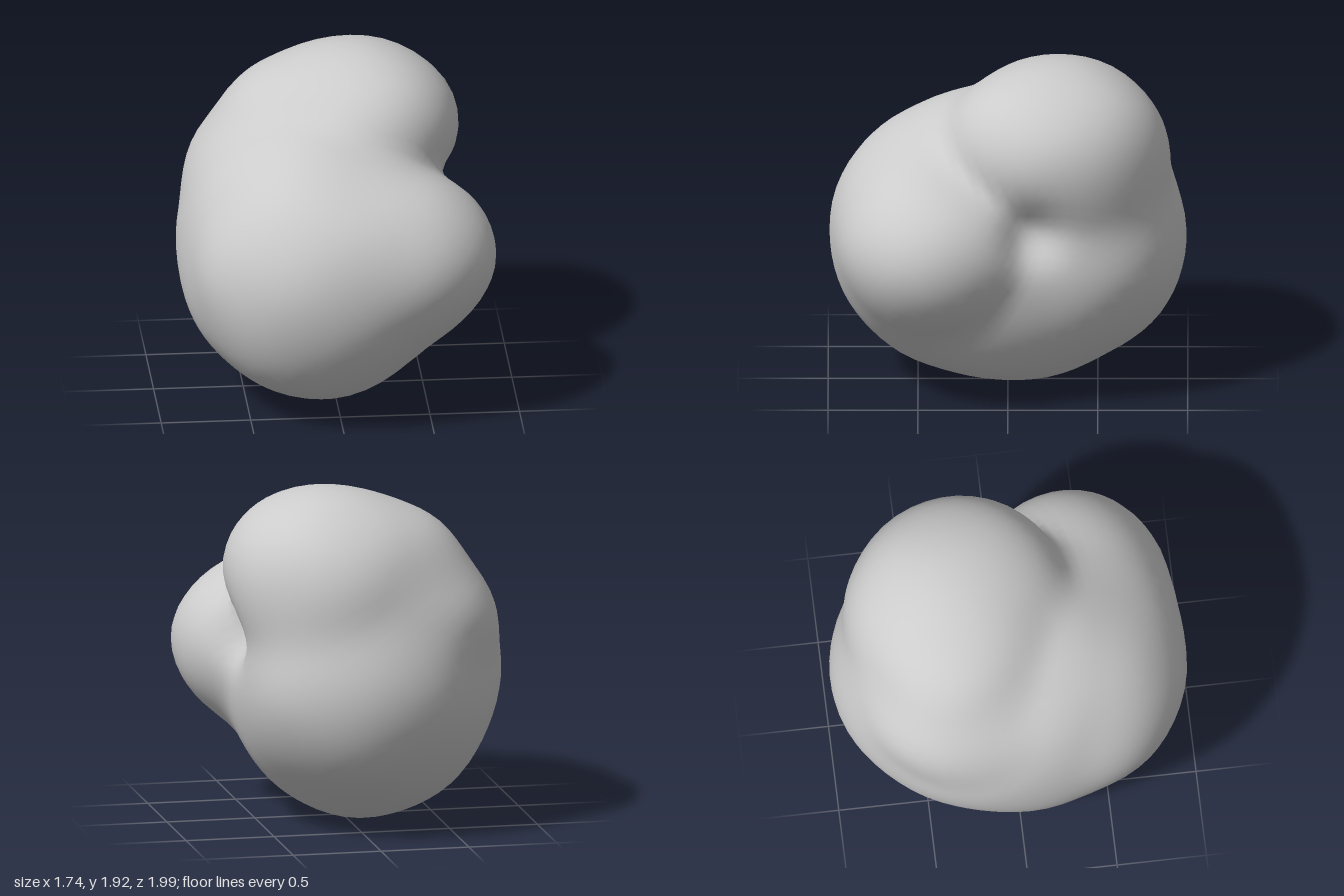
import * as THREE from 'three';
import { mergeVertices } from 'three/addons/utils/BufferGeometryUtils.js';

// Lobes of the rock: centre and radii
const lobes = [
  { c: [-0.1, 0.84, 0], r: [0.77, 0.84, 0.94] },          // main body
  { c: [0.17, 1.47, -0.24], r: [0.55, 0.45, 0.59] },      // upper lobe
  { c: [-0.08, 1.39, -0.29], r: [0.56, 0.47, 0.52] },     // upper lobe, left slope
  { c: [0.1, 1.3, -0.38], r: [0.56, 0.55, 0.52] },        // upper lobe, back slope
  { c: [-0.2, 1.17, -0.3], r: [0.6, 0.46, 0.57] },        // left shoulder
  { c: [0, 0.85, -0.4], r: [0.63, 0.62, 0.59] },          // back bulge
  { c: [0.05, 0.91, 0.4], r: [0.79, 0.58, 0.585] },       // broad front bulge
  { c: [-0.1, 0.8, 0.4], r: [0.65, 0.66, 0.55] },         // lower front bulge
  { c: [0.4, 0.95, 0.39], r: [0.46, 0.4, 0.5] },          // blunt side tip of the front bulge
].map(({ c, r }) => ({ c: new THREE.Vector3(...c), r: new THREE.Vector3(...r) }));

const BLEND = 0.1;
const PINCH = new THREE.Vector3(0.6, 1.07, -0.13);        // where the lobes meet on the side
const q = new THREE.Vector3();

// Approximate signed distance to one ellipsoid
function lobeDistance(p, { c, r }) {
  q.copy(p).sub(c).divide(r);
  const k0 = q.length();
  const k1 = q.divide(r).length();
  return k1 < 1e-6 ? -0.4 : (k0 * (k0 - 1)) / k1;
}

function smoothMin(a, b) {
  const h = Math.max(BLEND - Math.abs(a - b), 0) / BLEND;
  return Math.min(a, b) - (h * h * BLEND) / 4;
}

// Blended lobes with a dent at the pinch and faint unevenness
function field(p) {
  const d = lobes.map((l) => lobeDistance(p, l)).reduce(smoothMin);
  const dent = 0.09 * Math.exp(-p.distanceToSquared(PINCH) / 0.02);
  const lumps = Math.sin(p.x * 7 + 1) * Math.sin(p.y * 6.3 + 2) * Math.sin(p.z * 6.7 + 0.5);
  return d + dent + 0.008 * lumps;
}

// Outermost surface point along a ray from the core
function surfaceRadius(core, dir, p) {
  const at = (t) => field(p.copy(core).addScaledVector(dir, t));
  let t = 1.5;
  while (t > 0.1 && at(t) > 0) t -= 0.02;
  let lo = t, hi = t + 0.02;
  for (let i = 0; i < 10; i++) {
    const mid = (lo + hi) / 2;
    if (at(mid) > 0) hi = mid; else lo = mid;
  }
  return lo;
}

export function createModel() {
  const group = new THREE.Group();
  group.name = 'rock';

  // Sphere pushed out onto the blended lobes
  let geo = new THREE.IcosahedronGeometry(1, 13);
  geo.deleteAttribute('normal');
  geo.deleteAttribute('uv');
  geo = mergeVertices(geo, 1e-4);
  const pos = geo.attributes.position;
  const core = new THREE.Vector3(0, 1, 0);
  const dir = new THREE.Vector3();
  const p = new THREE.Vector3();
  for (let i = 0; i < pos.count; i++) {
    dir.fromBufferAttribute(pos, i).normalize();
    const t = surfaceRadius(core, dir, p);
    p.copy(core).addScaledVector(dir, t);
    pos.setXYZ(i, p.x, p.y, p.z);
  }

  // Stand it on the floor
  geo.computeBoundingBox();
  geo.translate(0, -geo.boundingBox.min.y, 0);
  geo.computeVertexNormals();

  const rock = new THREE.Mesh(geo, new THREE.MeshStandardMaterial({ color: 0xcccccc }));
  rock.name = 'lobedBody';
  group.add(rock);
  return group;
}
